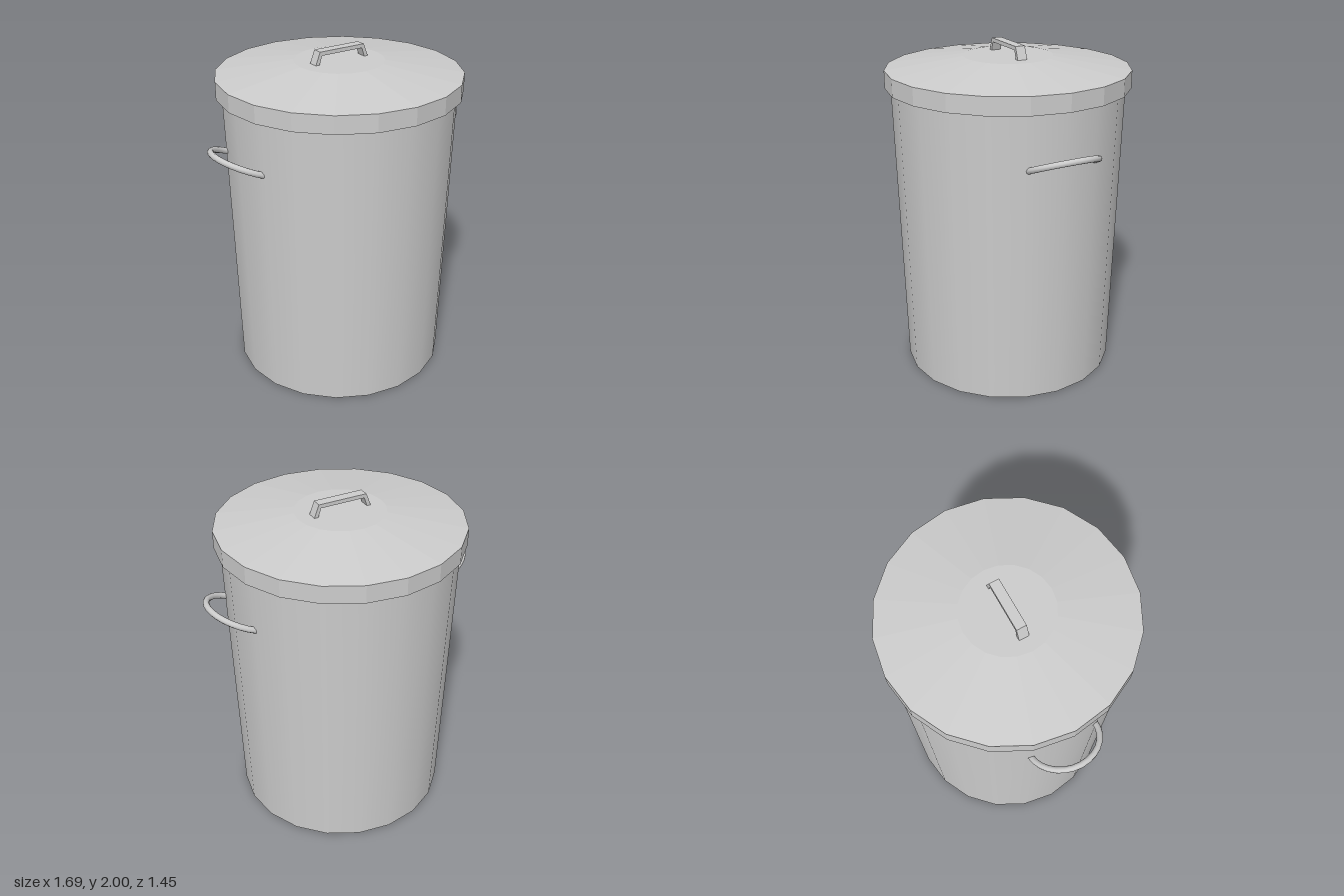
import * as THREE from 'three';

const SIDES = 20;
const smooth = new THREE.MeshStandardMaterial({ color: 0xcccccc });
const flat = new THREE.MeshStandardMaterial({ color: 0xcccccc, flatShading: true });

function addPart(parent, name, geometry, material) {
  const mesh = new THREE.Mesh(geometry, material);
  mesh.name = name;
  parent.add(mesh);
  return mesh;
}

export function createModel() {
  const bin = new THREE.Group();
  bin.name = 'dustbin';

  // Tapered body with a closed base, tucked up inside the lid
  const body = new THREE.CylinderGeometry(0.692, 0.645, 1.84, SIDES);
  body.translate(0, 0.92, 0);
  addPart(bin, 'body', body, smooth);

  // Lid: underside lip, upright rim, shallow cone and flat centre
  const lidProfile = [
    [0.68, 1.75], [0.724, 1.75], [0.724, 1.855], [0.265, 1.925], [0, 1.925],
  ].map(([r, y]) => new THREE.Vector2(r, y));
  addPart(bin, 'lid', new THREE.LatheGeometry(lidProfile, SIDES), flat);

  // Bracket-shaped lid handle with splayed legs
  const bracket = new THREE.Shape([
    [-0.18, 1.924], [-0.155, 1.924], [-0.137, 1.977], [0.137, 1.977],
    [0.155, 1.924], [0.18, 1.924], [0.15, 2], [-0.15, 2],
  ].map(([x, y]) => new THREE.Vector2(x, y)));
  const lidHandle = new THREE.ExtrudeGeometry(bracket, { depth: 0.06, bevelEnabled: false });
  lidHandle.translate(0, 0, -0.03);
  addPart(bin, 'lidHandle', lidHandle, flat);

  // Half-ring carrying handles, tilted upward on each side
  const ring = new THREE.TorusGeometry(0.205, 0.018, 10, 14, Math.PI);
  ring.rotateZ(-Math.PI / 2).rotateX(Math.PI / 2).rotateZ(0.41);
  ring.translate(0.64, 1.433, 0);
  addPart(bin, 'leftHandle', ring, smooth);
  addPart(bin, 'rightHandle', ring, smooth).rotation.y = Math.PI;

  return bin;
}
